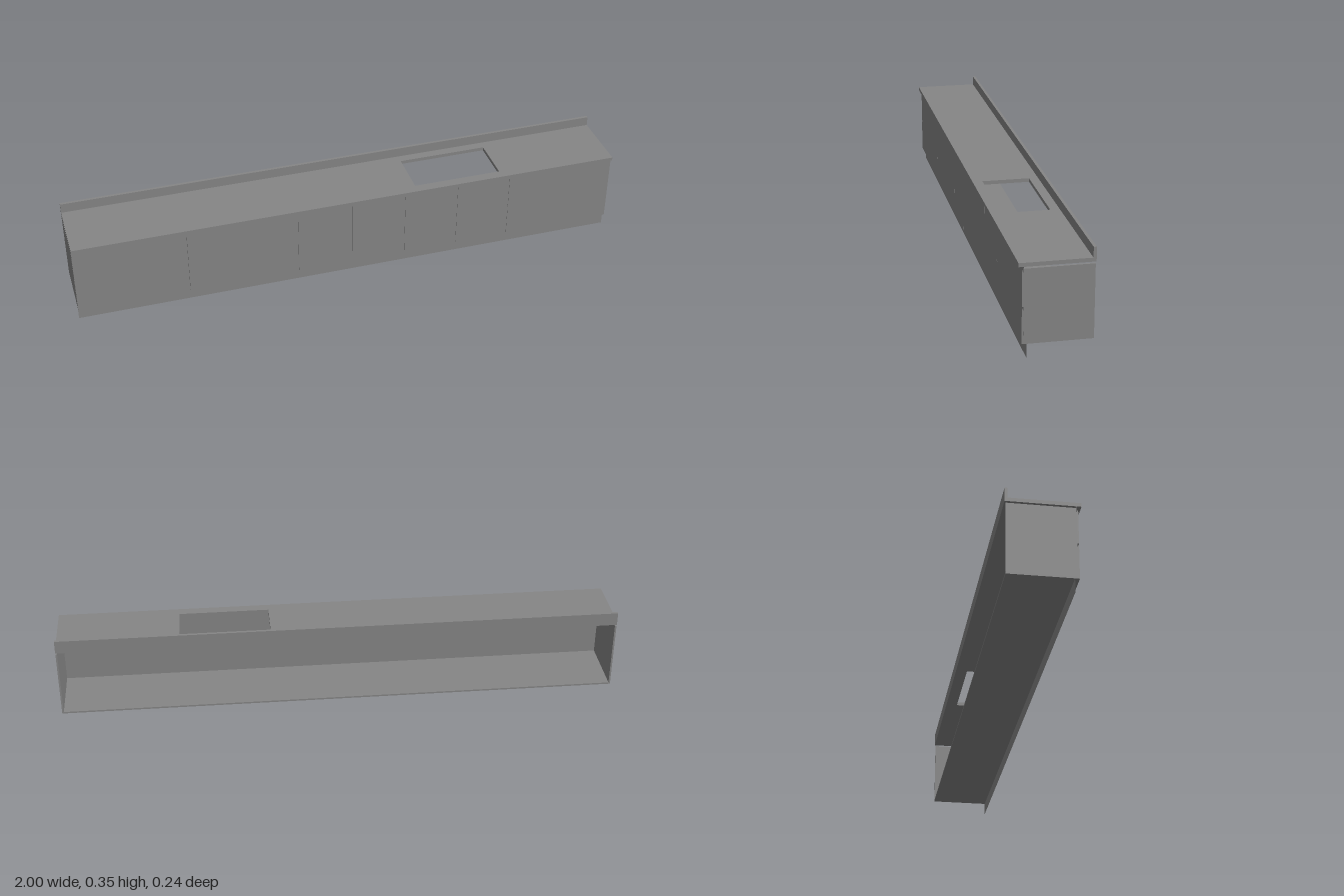
import * as THREE from 'three';

const material = new THREE.MeshStandardMaterial({ color: 0x868686, side: THREE.DoubleSide });

export function createModel() {
  const group = new THREE.Group();
  group.name = 'kitchenCounter';

  const add = (name, geometry) => {
    const mesh = new THREE.Mesh(geometry, material);
    mesh.name = name;
    group.add(mesh);
    return mesh;
  };

  // Box given by its two opposite corners
  const box = (name, x0, x1, y0, y1, z0, z1) =>
    add(name, new THREE.BoxGeometry(x1 - x0, y1 - y0, z1 - z0))
      .position.set((x0 + x1) / 2, (y0 + y1) / 2, (z0 + z1) / 2);

  const rectangle = (Type, x0, x1, y0, y1) => new Type([
    new THREE.Vector2(x0, y0), new THREE.Vector2(x1, y0),
    new THREE.Vector2(x1, y1), new THREE.Vector2(x0, y1),
  ]);

  // Worktop with sink cut-out, drawn in plan (shape y = -z)
  const plan = rectangle(THREE.Shape, -1, 1, -0.121, 0.121);
  plan.holes.push(rectangle(THREE.Path, 0.243, 0.566, -0.086, 0.079));
  const top = new THREE.ExtrudeGeometry(plan, { depth: 0.013, bevelEnabled: false });
  top.rotateX(-Math.PI / 2);
  add('worktop', top).position.y = 0.302;
  box('backUpstand', -1, 1, 0.315, 0.35, -0.121, -0.111);

  // Carcass, open at the back and under the worktop
  const floor = 0.047, carcassTop = 0.296, back = -0.1185, front = 0.104;
  const board = 0.006;
  box('bottomPanel', -1, 1, floor, floor + board, back, front);
  box('rightSidePanel', -1, -1 + board, floor + board, carcassTop, back, front);
  box('leftSidePanel', 1 - board, 1, floor + board, carcassTop, back, front);

  // Continuous sheet behind the fronts, reaching up to the worktop
  const faceBack = 0.105, faceFront = 0.11;
  box('frontSheet', -1, 1, floor, 0.302, front, faceBack);

  // Thin plinth set back under the fronts
  add('plinth', new THREE.PlaneGeometry(2, floor)).position.set(0, floor / 2, 0.095);

  // Door or drawer front, its top edge cut away behind as a finger-pull
  const gap = 0.0004;
  const frontPanel = (name, x0, x1, y0, y1) => {
    const profile = new THREE.Shape([
      new THREE.Vector2(-faceFront, y0), new THREE.Vector2(-faceBack, y0),
      new THREE.Vector2(-faceBack, y1 - 0.012), new THREE.Vector2(-faceFront, y1),
    ]);
    const geometry = new THREE.ExtrudeGeometry(profile, { depth: x1 - x0 - 2 * gap, bevelEnabled: false });
    geometry.rotateY(Math.PI / 2); // profile x becomes -z, extrusion runs along x
    add(name, geometry).position.x = x0 + gap;
  };

  // Drawer pairs
  const split = 0.17, frontTop = 0.293;
  for (const x of [-1, -0.6, 0.6]) {
    frontPanel('lowerDrawerFront', x, x + 0.4, floor, split - gap);
    frontPanel('upperDrawerFront', x, x + 0.4, split + gap, frontTop);
  }
  // Single doors
  for (const x of [-0.2, 0, 0.2, 0.4]) frontPanel('door', x, x + 0.2, floor, frontTop);

  return group;
}
